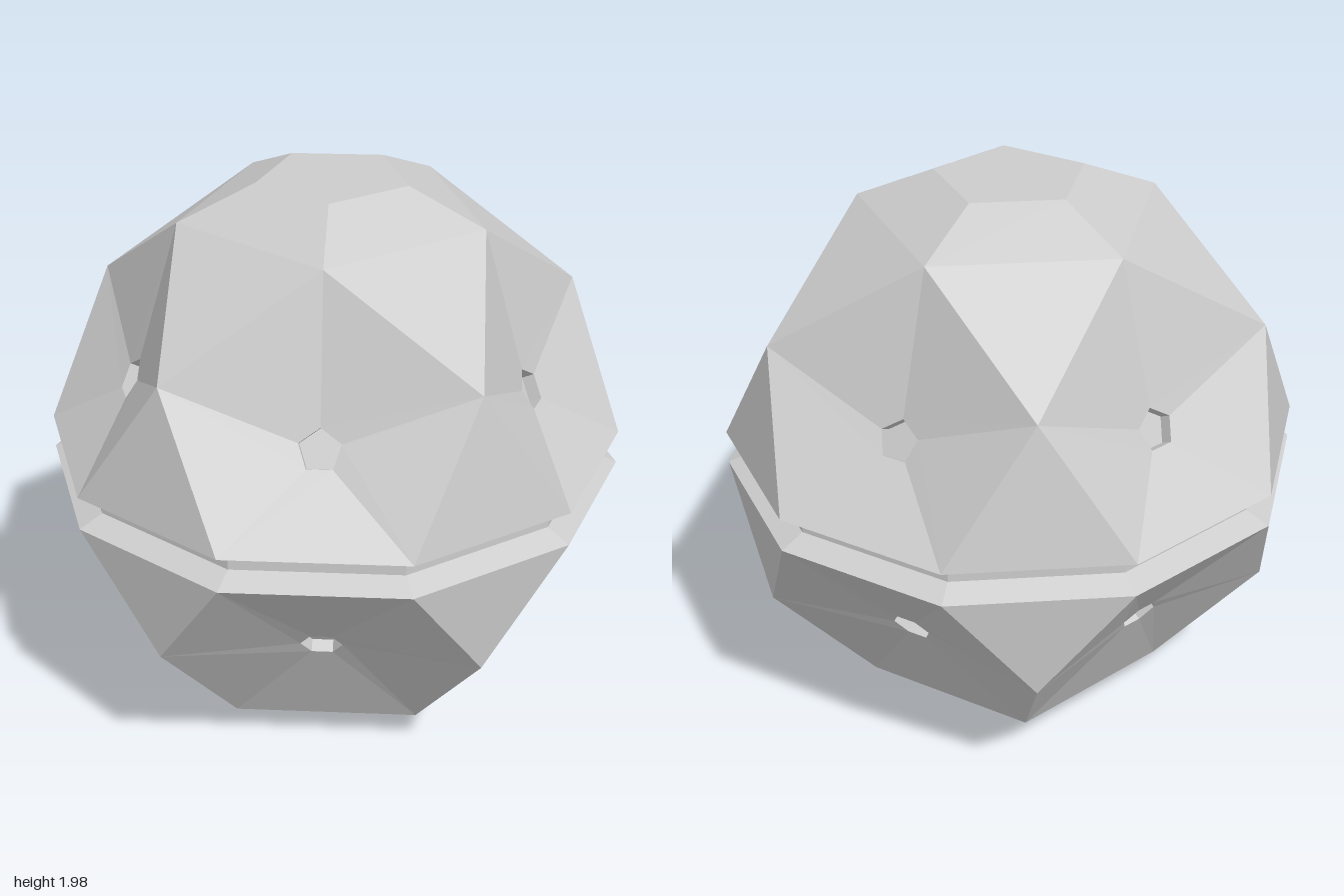
import * as THREE from 'three';

// point on a circle of radius r at height y, angle in degrees from +x towards +z
const P = (r, deg, y) => {
  const a = THREE.MathUtils.degToRad(deg);
  return new THREE.Vector3(r * Math.cos(a), y, r * Math.sin(a));
};
const ring = (r, y, n, start) => Array.from({ length: n }, (_, i) => P(r, start + (i * 360) / n, y));

// polygons (corners counter-clockwise from outside) to a faceted mesh
function facets(name, polys, material) {
  const pts = [];
  for (const p of polys) {
    for (let i = 1; i < p.length - 1; i++) pts.push(p[0], p[i], p[i + 1]);
  }
  const geo = new THREE.BufferGeometry().setFromPoints(pts);
  geo.computeVertexNormals();
  const mesh = new THREE.Mesh(geo, material);
  mesh.name = name;
  return mesh;
}

// strip of quads between a lower and an upper ring
const band = (low, up) => low.map((_, i) => {
  const j = (i + 1) % low.length;
  return [low[j], low[i], up[i], up[j]];
});

// face that sinks towards a small socket with the same number of sides
function dentedFace(poly, { deg, r, y, tilt, size, depth, start }) {
  const n = poly.length;
  const centre = P(r, deg, y);
  const out = P(Math.cos(tilt), deg, Math.sin(tilt));
  const up = P(-Math.sin(tilt), deg, Math.cos(tilt));
  const right = P(1, deg - 90, 0);
  const rim = poly.map((_, i) => {
    const a = THREE.MathUtils.degToRad(start + (i * 360) / n);
    return centre.clone().addScaledVector(right, size * Math.cos(a)).addScaledVector(up, size * Math.sin(a));
  });
  const floor = rim.map((p) => p.clone().addScaledVector(out, -depth));
  const slopes = [], socket = [floor];
  for (let i = 0; i < n; i++) {
    const j = (i + 1) % n;
    slopes.push([poly[i], poly[j], rim[j], rim[i]]);
    socket.push([rim[i], rim[j], floor[j], floor[i]]);
  }
  return { slopes, socket };
}

export function createModel() {
  const group = new THREE.Group();
  const grey = new THREE.MeshStandardMaterial({ color: 0xcccccc, flatShading: true });
  grey.name = 'grey';

  const yTop = 1.05, yLow = 0.93;
  const upper = [], upperSockets = [], lower = [], lowerSockets = [];
  const topRim = (d) => P(1, d, yTop), topMid = (d) => P(0.868, d, 1.52), topEnd = (d) => P(0.534, d, 1.86);
  const lowRim = (d) => P(1, d, yLow), lowMid = (d) => P(0.91, d, 0.535), lowEnd = (d) => P(0.54, d, 0.12);

  for (let k = 0; k < 5; k++) {
    const a = k * 72;
    // upper half: sunken pentagon, triangle standing on the rim, triangle below the cap
    const pent = dentedFace(
      [topRim(a + 18), topRim(a - 18), topMid(a - 36), topEnd(a), topMid(a + 36)],
      { deg: a, r: 0.71, y: 1.317, tilt: 0.479, size: 0.073, depth: 0.045, start: 234 });
    upper.push(...pent.slopes,
      [topRim(a + 54), topRim(a + 18), topMid(a + 36)],
      [topMid(a + 36), topEnd(a), topEnd(a + 72)]);
    upperSockets.push(...pent.socket);

    // lower half: sunken hexagon and triangle hanging from the rim
    const hex = dentedFace(
      [lowEnd(a + 36), lowEnd(a - 36), lowMid(a - 36), lowRim(a - 18), lowRim(a + 18), lowMid(a + 36)],
      { deg: a, r: 0.665, y: 0.56, tilt: -0.566, size: 0.071, depth: 0.045, start: 240 });
    lower.push(...hex.slopes, [lowMid(a + 36), lowRim(a + 18), lowRim(a + 54)]);
    lowerSockets.push(...hex.socket);
  }

  // flat-topped caps
  const capTop = ring(0.265, 1.975, 5, 0), capLow = ring(0.265, 0, 5, 36);
  const topCap = [...band(ring(0.534, 1.86, 5, 0), capTop), [...capTop].reverse()];
  const bottomCap = [...band(capLow, ring(0.54, 0.12, 5, 36)), capLow];

  // groove around the middle
  const profile = [[1, yLow], [0.915, 0.967], [0.915, 1.01], [1, yTop]].map(([r, y]) => ring(r, y, 10, 18));
  const groove = profile.slice(1).flatMap((up, i) => band(profile[i], up));

  const parts = { upperShell: upper, upperSockets, lowerShell: lower, lowerSockets, topCap, bottomCap, middleGroove: groove };
  for (const [name, polys] of Object.entries(parts)) group.add(facets(name, polys, grey));
  return group;
}
